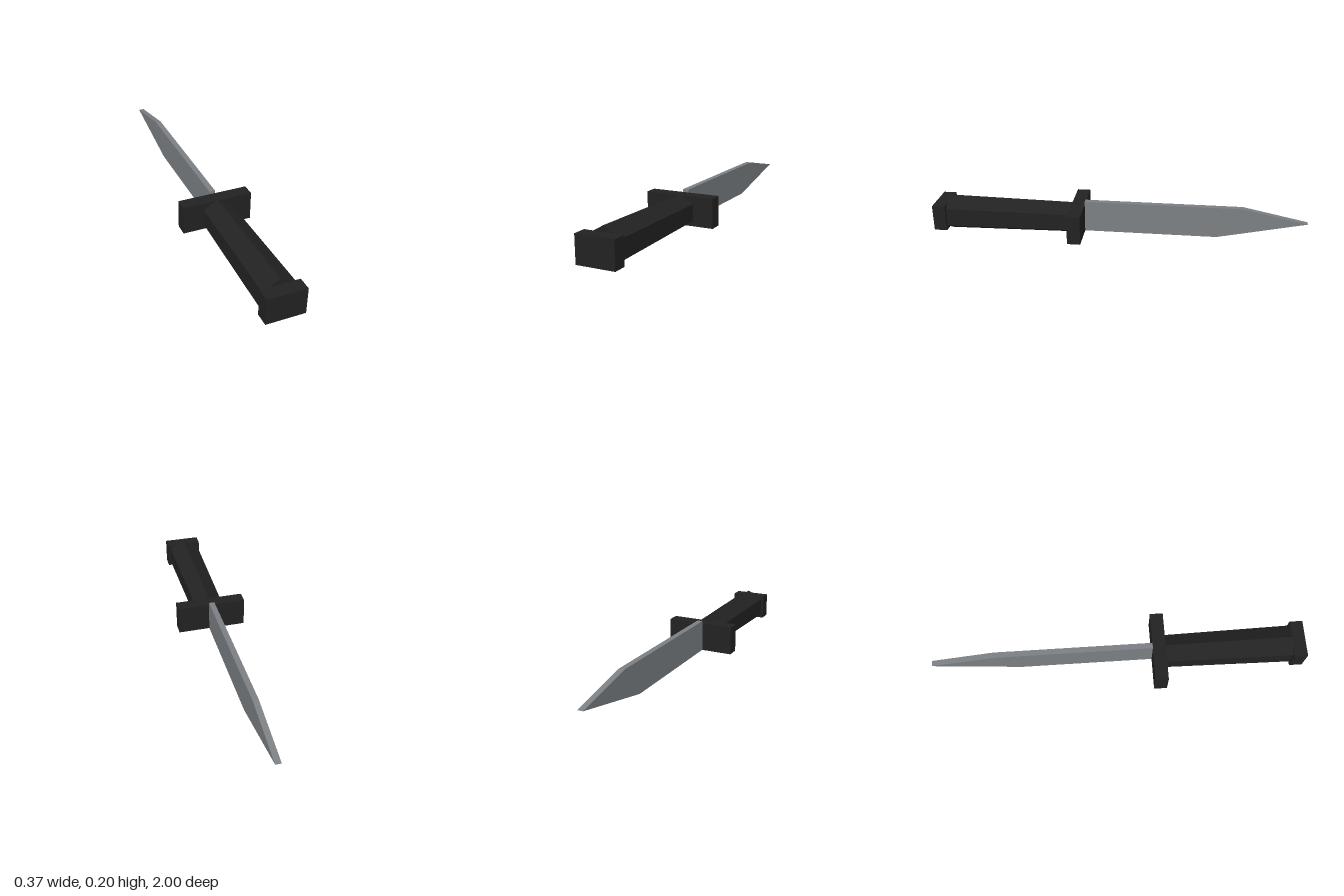
import * as THREE from 'three';

export function createModel() {
  const group = new THREE.Group();
  group.name = 'dagger';

  const black = new THREE.MeshStandardMaterial({ color: 0x222222, flatShading: true });
  black.name = 'black grip';
  const steel = new THREE.MeshStandardMaterial({ color: 0x7c8084, flatShading: true });
  steel.name = 'grey steel';

  const add = (name, geometry, material, x, y, z) => {
    const mesh = new THREE.Mesh(geometry, material);
    mesh.name = name;
    mesh.position.set(x, y, z);
    group.add(mesh);
  };

  // Blade: side profile drawn as (-z, y), extruded across x
  const profile = new THREE.Shape([
    [-0.18, 0.03], [0.53, 0.03], [1, 0.13], [0.66, 0.2], [-0.18, 0.2],
  ].map(([u, v]) => new THREE.Vector2(u, v)));
  const thickness = 0.03;
  const blade = new THREE.ExtrudeGeometry(profile, { depth: thickness, bevelEnabled: false });
  blade.translate(0, 0, -thickness / 2).rotateY(Math.PI / 2);
  add('blade', blade, steel, 0, 0, 0);

  // Cross guard
  add('guard', new THREE.BoxGeometry(0.374, 0.155, 0.07), black, 0, 0.1075, 0.215);

  // Hexagonal grip, slightly wider towards the pommel
  const grip = new THREE.CylinderGeometry(0.099, 0.088, 0.68, 6).rotateX(Math.PI / 2);
  add('grip', grip, black, 0, 0.101, 0.59);

  // Pommel block
  add('pommel', new THREE.BoxGeometry(0.2, 0.14, 0.07), black, 0, 0.1, 0.965);

  return group;
}
